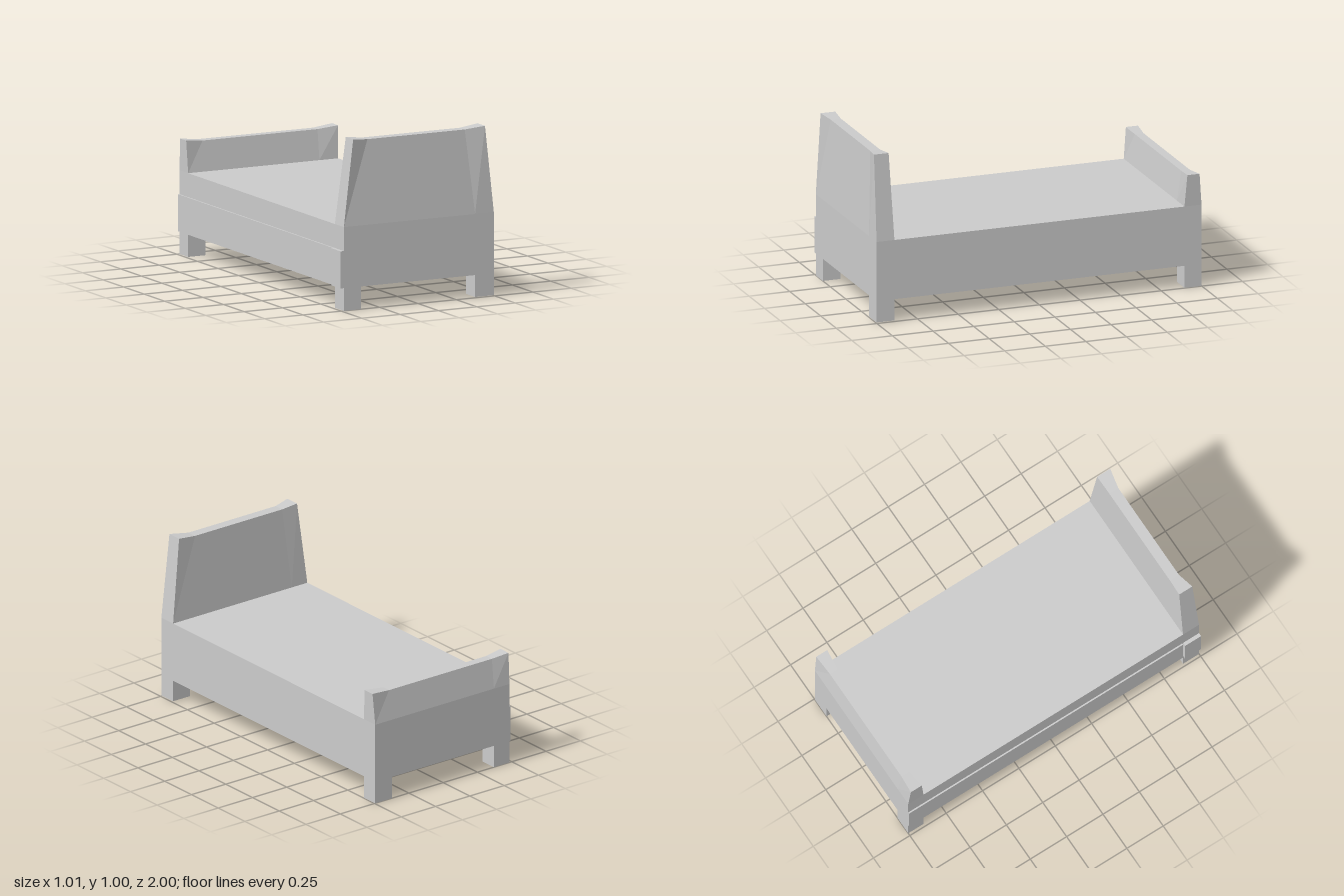
import * as THREE from 'three';

const material = new THREE.MeshStandardMaterial({ color: 0xcccccc, flatShading: true, side: THREE.DoubleSide });

// Box given by its two extreme corners
function block(name, x0, x1, y0, y1, z0, z1) {
  const geometry = new THREE.BoxGeometry(x1 - x0, y1 - y0, z1 - z0);
  geometry.translate((x0 + x1) / 2, (y0 + y1) / 2, (z0 + z1) / 2);
  const mesh = new THREE.Mesh(geometry, material);
  mesh.name = name;
  return mesh;
}

// Upright board lofted across x from four-cornered sections.
// station: [bottom x, top x, top y, top back z, top front z]
function board(name, stations, yBase, zBack, zFront) {
  const positions = [];
  const index = [];
  for (const [xb, xt, yt, zb, zf] of stations) {
    positions.push(xb, yBase, zBack, xb, yBase, zFront, xt, yt, zf, xt, yt, zb);
  }
  const last = (stations.length - 1) * 4;
  for (let s = 0; s < last; s += 4) {
    for (let j = 0; j < 4; j++) {
      const a = s + j, b = s + (j + 1) % 4;
      index.push(a, a + 4, b + 4, a, b + 4, b);
    }
  }
  index.push(0, 1, 2, 0, 2, 3, last, last + 2, last + 1, last, last + 3, last + 2);
  const geometry = new THREE.BufferGeometry();
  geometry.setAttribute('position', new THREE.Float32BufferAttribute(positions, 3));
  geometry.setIndex(index);
  const flat = geometry.toNonIndexed();
  flat.computeVertexNormals();
  const mesh = new THREE.Mesh(flat, material);
  mesh.name = name;
  return mesh;
}

export function createModel() {
  const bed = new THREE.Group();
  bed.name = 'bed';
  const right = -0.483, left = 0.495, low = 0.133, deck = 0.49;

  // Solid base and mattress deck
  bed.add(block('bedBase', right, left, low, deck, -1, 1));

  // Corner legs
  for (const [z0, z1, end] of [[0.89, 1, 'front'], [-1, -0.895, 'back']]) {
    bed.add(block(end + 'RightLeg', right, -0.37, 0, low, z0, z1));
    bed.add(block(end + 'LeftLeg', 0.373, left, end === 'front' ? 0.005 : 0, low, z0, z1));
  }

  // Tall tapered headboard with raised corners
  bed.add(board('headboard', [
    [right, -0.42, 0.996, 0.905, 0.995],
    [-0.37, -0.315, 0.985, 0.91, 0.972],
    [0.373, 0.32, 0.985, 0.91, 0.972],
    [left, 0.44, 1, 0.905, 0.995],
  ], deck, 0.89, 1));

  // Low footboard, slightly flared
  bed.add(board('footboard', [
    [right, -0.488, 0.678, -0.91, -0.985],
    [-0.37, -0.375, 0.667, -0.922, -0.975],
    [0.373, 0.375, 0.667, -0.922, -0.975],
    [left, 0.503, 0.68, -0.91, -0.985],
  ].map(([xb, xt, y, inner, outer]) => [xb, xt, y, outer, inner]), deck, -1, -0.895));

  // Raised rail and end block on the right side
  bed.add(block('sideRail', -0.492, right, low, 0.35, -1, 0.885));
  bed.add(block('railEndBlock', -0.505, right, low, 0.35, 0.89, 1));

  return bed;
}
